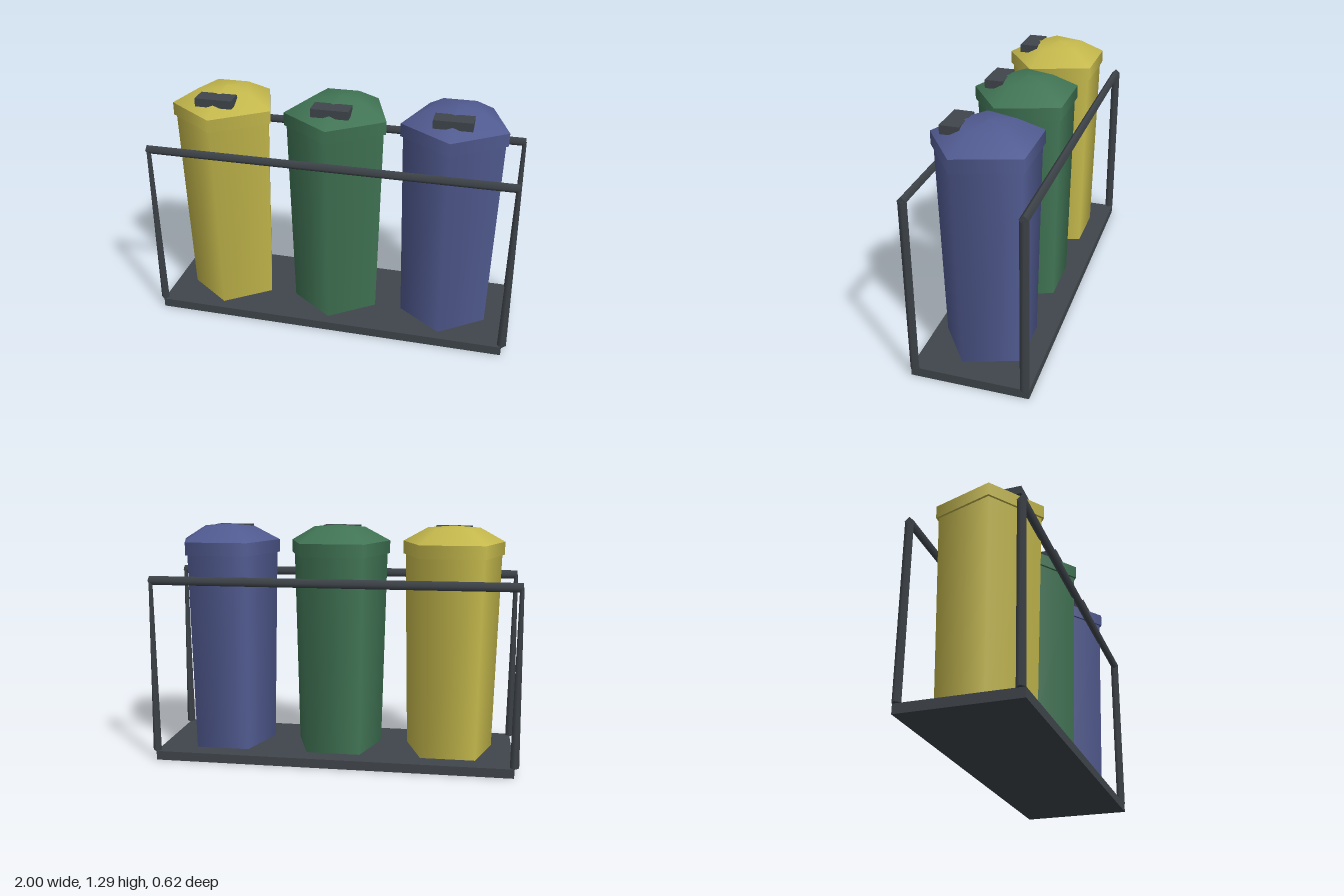
import * as THREE from 'three';

const material = (name, color) => {
  const m = new THREE.MeshStandardMaterial({ color });
  m.name = name;
  return m;
};

function add(parent, name, geometry, mat, x = 0, y = 0, z = 0) {
  const mesh = new THREE.Mesh(geometry, mat);
  mesh.name = name;
  mesh.position.set(x, y, z);
  parent.add(mesh);
  return mesh;
}

// Five-sided bin with a corner facing the front, rimmed lid and handle
function createBin(name, mat, dark) {
  const bin = new THREE.Group();
  bin.name = name;
  add(bin, 'body', new THREE.CylinderGeometry(0.276, 0.25, 1.09, 5), mat, 0, 0.595, 0);
  add(bin, 'lidRim', new THREE.CylinderGeometry(0.29, 0.29, 0.07, 5), mat, 0, 1.165, 0);
  const dome = [[0.29, 1.2], [0.148, 1.277], [0, 1.29]].map(([r, y]) => new THREE.Vector2(r, y));
  add(bin, 'lidDome', new THREE.LatheGeometry(dome, 5), mat);
  add(bin, 'lidHandle', new THREE.BoxGeometry(0.2, 0.045, 0.1), dark, 0, 1.2575, 0.15);
  return bin;
}

// Diamond-section post, narrowing sideways toward the top
function createPost() {
  const g = new THREE.CylinderGeometry(0.024, 0.024, 0.95, 4);
  const p = g.attributes.position;
  for (let i = 0; i < p.count; i++) {
    if (p.getY(i) > 0) p.setX(i, p.getX(i) * 0.45);
  }
  g.computeBoundingSphere();
  return g;
}

export function createModel() {
  const model = new THREE.Group();
  model.name = 'recyclingStation';
  const dark = material('darkGrey', 0x40464c);

  add(model, 'base', new THREE.BoxGeometry(1.95, 0.05, 0.62), dark, 0, 0.025, 0);

  // Front and back guard frames
  const post = createPost();
  const rail = new THREE.CylinderGeometry(0.024, 0.024, 1.966, 4).rotateZ(Math.PI / 2);
  for (const z of [0.288, -0.288]) {
    const frame = new THREE.Group();
    frame.name = z > 0 ? 'frontFrame' : 'backFrame';
    frame.position.z = z;
    model.add(frame);
    add(frame, 'rail', rail, dark, 0, 1.0, 0);
    add(frame, 'leftPost', post, dark, 0.976, 0.525, 0);
    add(frame, 'rightPost', post, dark, -0.976, 0.525, 0);
  }

  // Row of bins
  const bins = [
    ['yellowBin', material('yellow', 0xc4b84c), -0.625],
    ['greenBin', material('green', 0x417555), 0],
    ['blueBin', material('blue', 0x515b91), 0.625],
  ];
  for (const [name, mat, x] of bins) {
    const bin = createBin(name, mat, dark);
    bin.position.x = x;
    model.add(bin);
  }
  return model;
}
